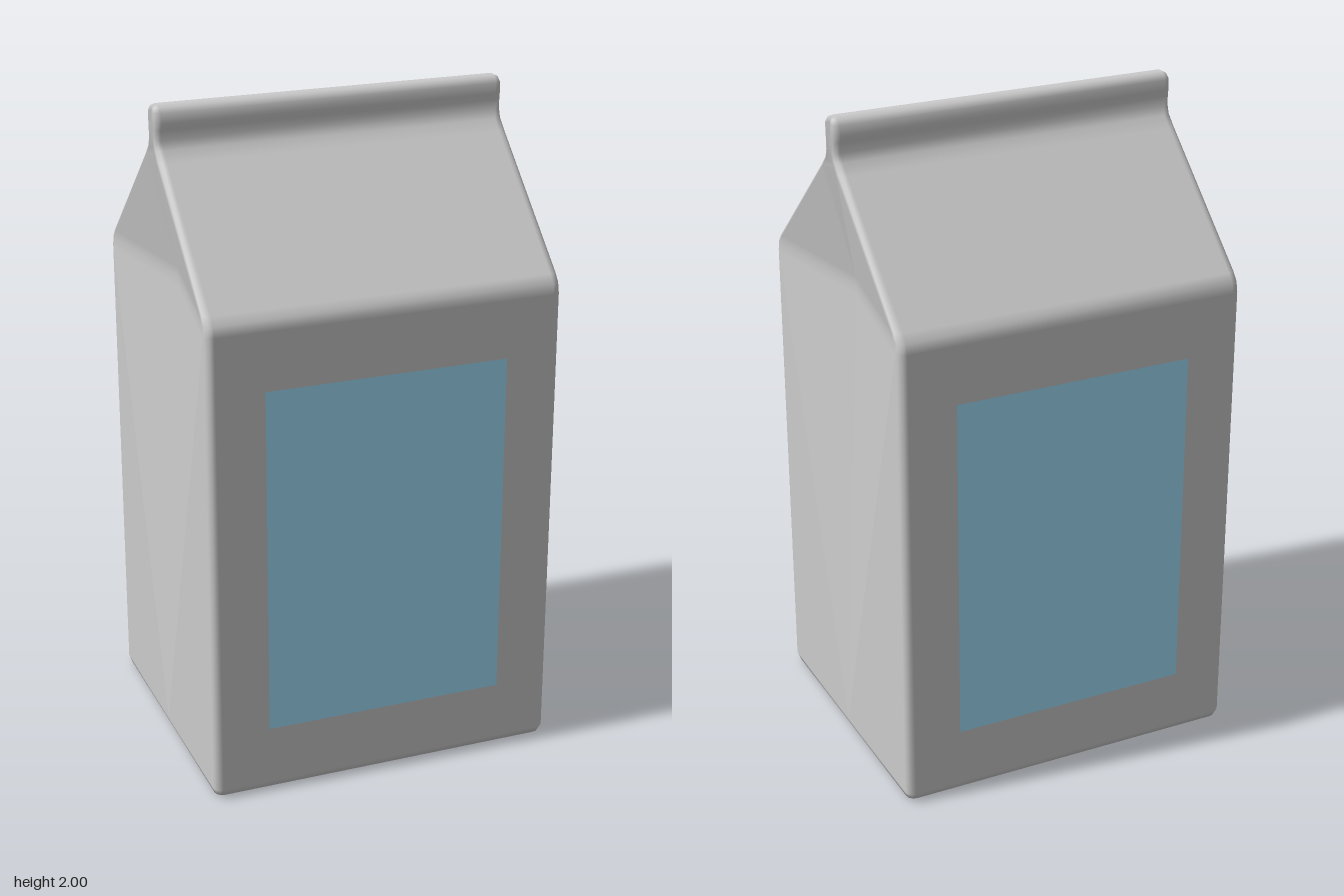
import * as THREE from 'three';

const ARC = 3; // segments per rounded corner

// One horizontal cross-section: a rounded rectangle whose two ends fold inwards in the middle.
function ring([y, w, l, fold]) {
  const b = Math.min(0.025, w * 0.6);
  const points = [];
  [[1, 1], [1, -1], [-1, -1], [-1, 1]].forEach(([sx, sz], k) => {
    if (k === 0) points.push([0, y, l - fold]);
    if (k === 2) points.push([0, y, fold - l]);
    for (let i = 0; i <= ARC; i++) {
      const t = (k + i / ARC) * Math.PI / 2;
      points.push([sx * (w - b) + b * Math.sin(t), y, sz * (l - b) + b * Math.cos(t)]);
    }
  });
  return points;
}

// Skin the cross-sections; diagonals run from the middle of each end out to the upper corners.
function loft(sections) {
  const rings = sections.map(ring);
  const n = rings[0].length;
  const mid = n / 2;
  const position = rings.flat(2);
  const index = [];
  for (let r = 0; r < rings.length - 1; r++) {
    for (let i = 0; i < n; i++) {
      const j = (i + 1) % n;
      const a = r * n + i, b = r * n + j, c = b + n, d = a + n;
      if (j % mid === 0) index.push(a, b, d, b, c, d);
      else index.push(a, b, c, a, c, d);
    }
  }
  // Bottom and top caps
  const base = position.length / 3;
  const last = (rings.length - 1) * n;
  position.push(0, sections[0][0], 0, 0, sections.at(-1)[0], 0);
  for (let i = 0; i < n; i++) {
    const j = (i + 1) % n;
    index.push(base, j, i, base + 1, last + i, last + j);
  }
  const geometry = new THREE.BufferGeometry();
  geometry.setAttribute('position', new THREE.Float32BufferAttribute(position, 3));
  geometry.setIndex(index);
  geometry.computeVertexNormals();
  return flattenPanels(geometry.toNonIndexed());
}

// Wide panels stay flat while the narrow bevels between them keep smooth normals.
function flattenPanels(geometry) {
  const { position, normal } = geometry.attributes;
  const tri = new THREE.Triangle();
  const faceNormal = new THREE.Vector3();
  for (let i = 0; i < position.count; i += 3) {
    tri.setFromAttributeAndIndices(position, i, i + 1, i + 2);
    const longest = Math.max(tri.a.distanceTo(tri.b), tri.b.distanceTo(tri.c), tri.c.distanceTo(tri.a));
    if (2 * tri.getArea() / longest < 0.05) continue;
    tri.getNormal(faceNormal);
    for (let k = 0; k < 3; k++) normal.setXYZ(i + k, faceNormal.x, faceNormal.y, faceNormal.z);
  }
  return geometry;
}

export function createModel() {
  const model = new THREE.Group();
  model.name = 'milkCarton';

  // Carton: height, half width, half length, depth of the end fold
  const carton = new THREE.Mesh(
    loft([
      [0, 0.445, 0.52, 0],
      [0.008, 0.46, 0.533, 0],
      [0.03, 0.47, 0.54, 0],
      [1.455, 0.47, 0.54, 0.07],
      [1.485, 0.463, 0.54, 0.07],
      [1.51, 0.443, 0.54, 0.07],
      [1.845, 0.075, 0.54, 0.03],
      [1.875, 0.046, 0.54, 0.03],
      [1.9, 0.034, 0.54, 0.03],
      [1.93, 0.034, 0.54, 0.03],
      [1.95, 0.039, 0.54, 0.025],
      [1.98, 0.036, 0.54, 0.015],
      [1.994, 0.026, 0.535, 0.005],
      [2, 0.012, 0.525, 0],
    ]),
    new THREE.MeshStandardMaterial({ color: 0xcccccc })
  );
  carton.name = 'carton';
  model.add(carton);

  // Coloured panel on each long side
  const panelMaterial = new THREE.MeshStandardMaterial({ color: 0xa2e3ff });
  for (const side of [1, -1]) {
    const panel = new THREE.Mesh(new THREE.PlaneGeometry(0.74, 1.07), panelMaterial);
    panel.name = side > 0 ? 'leftLabel' : 'rightLabel';
    panel.position.set(side * 0.473, 0.745, 0);
    panel.rotation.y = side * Math.PI / 2;
    model.add(panel);
  }

  // The carton stands turned on its base
  model.rotation.y = -THREE.MathUtils.degToRad(23.2);
  return model;
}
